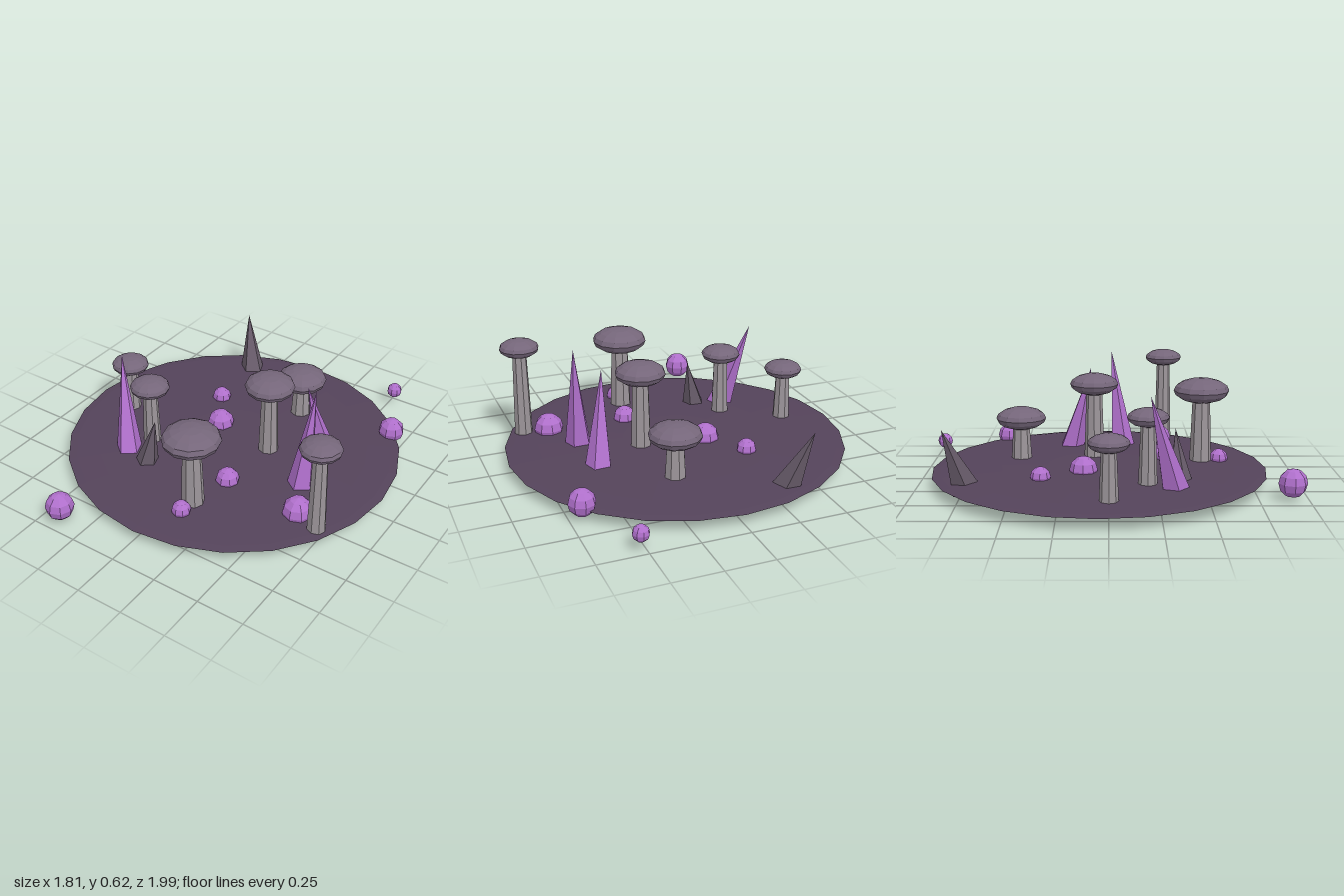
import * as THREE from 'three';

const mat = (color) => new THREE.MeshStandardMaterial({ color, flatShading: true });

export function createModel() {
  const root = new THREE.Group();
  const soil = mat(0x54435a), capMat = mat(0x75667a), stemMat = mat(0x9c959a);
  const stone = mat(0x665a68), violet = mat(0xb070cc);

  const add = (parent, name, geometry, material, x, y, z) => {
    const mesh = new THREE.Mesh(geometry, material);
    mesh.name = name;
    mesh.position.set(x, y, z);
    parent.add(mesh);
    return mesh;
  };

  // Ground: thin, lens-shaped disc
  const ground = add(root, 'ground', new THREE.SphereGeometry(1, 24, 10), soil, 0, 0.063, -0.05);
  ground.scale.set(0.905, 0.019, 0.89);

  // Mushrooms: x, z, cap radius, cap height above zero
  const mushrooms = [
    [-0.66, 0, 0.102, 0.355], [-0.37, 0.195, 0.106, 0.417],
    [0.17, -0.48, 0.136, 0.3], [0.205, -0.08, 0.132, 0.483],
    [0.12, 0.5, 0.15, 0.463], [0.735, 0.325, 0.105, 0.553],
  ];
  const foot = 0.043;
  for (const [x, z, r, y] of mushrooms) {
    const g = new THREE.Group();
    g.name = 'mushroom';
    const top = 0.017 + r * 0.19;
    add(g, 'stem', new THREE.CylinderGeometry(top, top * 1.33, y - foot, 8), stemMat, x, (y + foot) / 2, z);
    add(g, 'cap', new THREE.SphereGeometry(r, 12, 8), capMat, x, y, z).scale.y = 0.45;
    root.add(g);
  }

  // Round glowing pods: x, z, radius
  const pods = [
    [-0.4, 0.917, 0.074], [0.525, -0.958, 0.042], [0.685, -0.592, 0.07],
    [-0.28, -0.348, 0.053], [-0.14, -0.132, 0.074], [0.175, 0.27, 0.063],
    [0.605, 0.285, 0.08], [0.12, 0.6, 0.05],
  ];
  for (const [x, z, r] of pods) add(root, 'pod', new THREE.SphereGeometry(r, 8, 6), violet, x, 0.09, z);

  // Leaning five-sided crystals: base centre, tip, radius, material
  const crystals = [
    [[-0.42, 0.033, 0.335], [-0.545, 0.555, 0.2], 0.077, violet],
    [[0.483, 0.033, -0.222], [0.42, 0.54, -0.1], 0.077, violet],
    [[0.497, 0.025, 0.082], [0.53, 0.62, 0.015], 0.077, violet],
    [[-0.285, 0.025, 0.365], [-0.23, 0.33, 0.34], 0.073, stone],
    [[-0.31, 0.032, -0.725], [-0.405, 0.36, -0.825], 0.078, stone],
  ];
  const up = new THREE.Vector3(0, 1, 0);
  for (const [b, t, r, material] of crystals) {
    const base = new THREE.Vector3(...b), axis = new THREE.Vector3(...t).sub(base);
    const h = axis.length();
    const cone = new THREE.ConeGeometry(r, h, 5).translate(0, h / 2, 0);
    add(root, 'crystal', cone, material, ...b).quaternion.setFromUnitVectors(up, axis.normalize());
  }
  return root;
}
